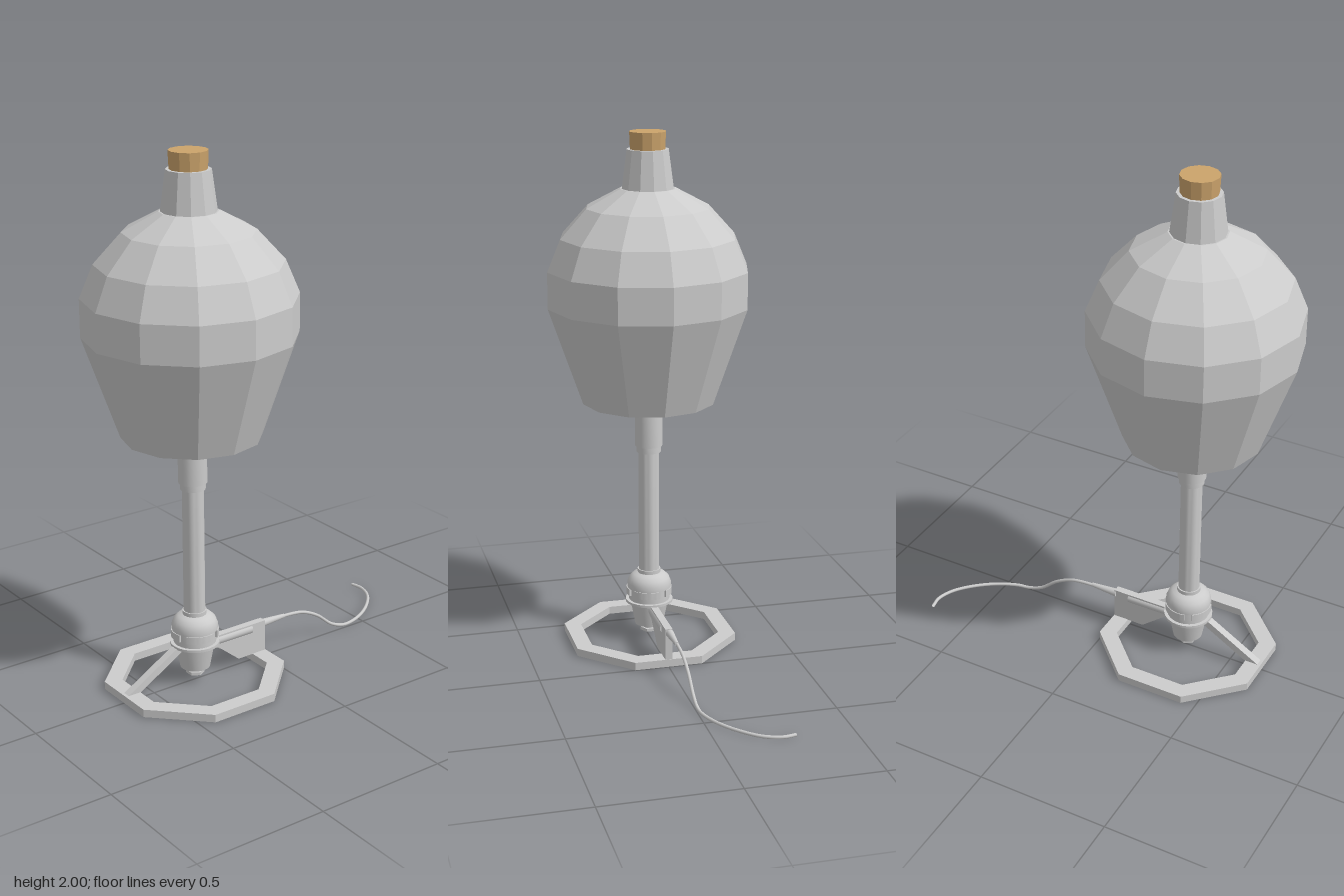
import * as THREE from 'three';
import { toCreasedNormals } from 'three/addons/utils/BufferGeometryUtils.js';

const CX = -0.315; // burner axis

export function createModel() {
  const model = new THREE.Group();
  const metal = new THREE.MeshStandardMaterial({ color: 0xcccccc, side: THREE.DoubleSide });
  const glass = new THREE.MeshStandardMaterial({ color: 0xcccccc, flatShading: true, side: THREE.DoubleSide });
  const corkMat = new THREE.MeshStandardMaterial({ flatShading: true });
  corkMat.color.set(0xcba36b);

  const add = (name, geometry, material = metal, x = 0, y = 0, z = 0) => {
    const mesh = new THREE.Mesh(geometry, material);
    mesh.name = name;
    mesh.position.set(x, y, z);
    model.add(mesh);
    return mesh;
  };
  const lathe = (points, sides) =>
    new THREE.LatheGeometry(points.map(([r, y]) => new THREE.Vector2(r, y)), sides);
  const smoothLathe = (points) => toCreasedNormals(lathe(points, 24), 0.6);
  // Upright plate outlined in x,y and centred on z = 0
  const plate = (points, thickness) => {
    const shape = new THREE.Shape(points.map(([x, y]) => new THREE.Vector2(x, y)));
    return new THREE.ExtrudeGeometry(shape, { depth: thickness, bevelEnabled: false })
      .translate(0, 0, -thickness / 2);
  };

  // Faceted flask with a hollowed underside
  add('flaskBody', lathe([
    [0, 1.03], [0.14, 1.0], [0.255, 0.975], [0.385, 1.35], [0.385, 1.49],
    [0.335, 1.61], [0.235, 1.72], [0.105, 1.79], [0.09, 1.79],
  ], 12), glass, CX);
  add('flaskNeck', lathe([[0.1, 1.785], [0.08, 1.935], [0.066, 1.935], [0.066, 1.9]], 12), glass, CX);
  add('stopper', new THREE.CylinderGeometry(0.07, 0.066, 0.09, 12), corkMat, CX, 1.955);

  // Burner tube with a hollow, thicker mouth
  add('burnerTube', smoothLathe([
    [0.045, 0.26], [0.045, 0.29], [0.04, 0.29], [0.04, 0.77], [0.047, 0.77], [0.047, 0.795],
    [0.053, 0.795], [0.053, 0.935], [0.042, 0.935], [0.036, 0.6], [0, 0.6],
  ]), metal, CX);

  // Burner body: tapered cup, flange and domed collar
  add('burnerBody', smoothLathe([
    [0, 0.06], [0.056, 0.06], [0.074, 0.155], [0.093, 0.155], [0.093, 0.165], [0.08, 0.165],
    [0.08, 0.215], [0.086, 0.215], [0.086, 0.235], [0.078, 0.255], [0.062, 0.27], [0.043, 0.276],
  ]), metal, CX);

  // Air collar, split into four curved segments by slots
  for (let i = 0; i < 4; i++) {
    const a = i * Math.PI / 2 + Math.PI / 4;
    const arc = new THREE.Shape();
    arc.absarc(0, 0, 0.089, a - 0.62, a + 0.62, false);
    arc.absarc(0, 0, 0.076, a + 0.62, a - 0.62, true);
    const geometry = new THREE.ExtrudeGeometry(arc, { depth: 0.028, bevelEnabled: false, curveSegments: 8 });
    geometry.rotateX(-Math.PI / 2).rotateY(0.45);
    add('airCollarSegment', toCreasedNormals(geometry, 0.6), metal, CX, 0.187);
  }

  // Small stem and nut under the cup
  add('stem', new THREE.CylinderGeometry(0.024, 0.024, 0.03, 16), metal, CX, 0.05);
  add('nut', toCreasedNormals(new THREE.CylinderGeometry(0.035, 0.035, 0.012, 6), 0.4), metal, CX, 0.037);

  // Octagonal ring base with flats facing the axes
  const octagon = (apothem) => Array.from({ length: 8 }, (_, i) => {
    const a = (i + 0.5) * Math.PI / 4, r = apothem / Math.cos(Math.PI / 8);
    return new THREE.Vector2(r * Math.cos(a), r * Math.sin(a));
  });
  const ring = new THREE.Shape(octagon(0.317));
  ring.holes.push(new THREE.Path(octagon(0.255)));
  const base = new THREE.ExtrudeGeometry(ring, { depth: 0.03, bevelEnabled: false });
  add('baseRing', base.rotateX(-Math.PI / 2), metal, CX, 0.003);

  // Supports joining the burner to the ring
  add('strut', plate([[-0.625, 0.03], [-0.57, 0.03], [-0.385, 0.14], [-0.385, 0.157], [-0.41, 0.157]], 0.03));
  add('fin', plate([[-0.25, 0.157], [0, 0.157], [0, 0.01], [-0.06, 0.01], [-0.06, 0.032], [-0.125, 0.032],
    [-0.22, 0.11], [-0.25, 0.115]], 0.028));
  const pipe = new THREE.CylinderGeometry(0.02, 0.02, 0.2, 16).rotateZ(Math.PI / 2);
  add('gasPipe', pipe, metal, -0.16, 0.136);

  // Tapered connector and trailing hose
  const connector = new THREE.CylinderGeometry(0.008, 0.016, 0.11, 16).rotateZ(-Math.PI / 2);
  add('hoseConnector', connector, metal, 0.05, 0.139, -0.004);
  const hosePath = new THREE.CatmullRomCurve3([
    [0.06, 0.138, -0.005], [0.14, 0.136, -0.005], [0.2, 0.126, -0.005], [0.27, 0.092, -0.005],
    [0.34, 0.036, -0.005], [0.4, 0.013, -0.005], [0.45, 0.011, -0.011], [0.53, 0.01, -0.045],
    [0.61, 0.009, -0.105], [0.665, 0.008, -0.17], [0.687, 0.008, -0.235], [0.68, 0.008, -0.285],
  ].map((p) => new THREE.Vector3(...p)));
  add('hose', new THREE.TubeGeometry(hosePath, 64, 0.0065, 10));

  return model;
}
